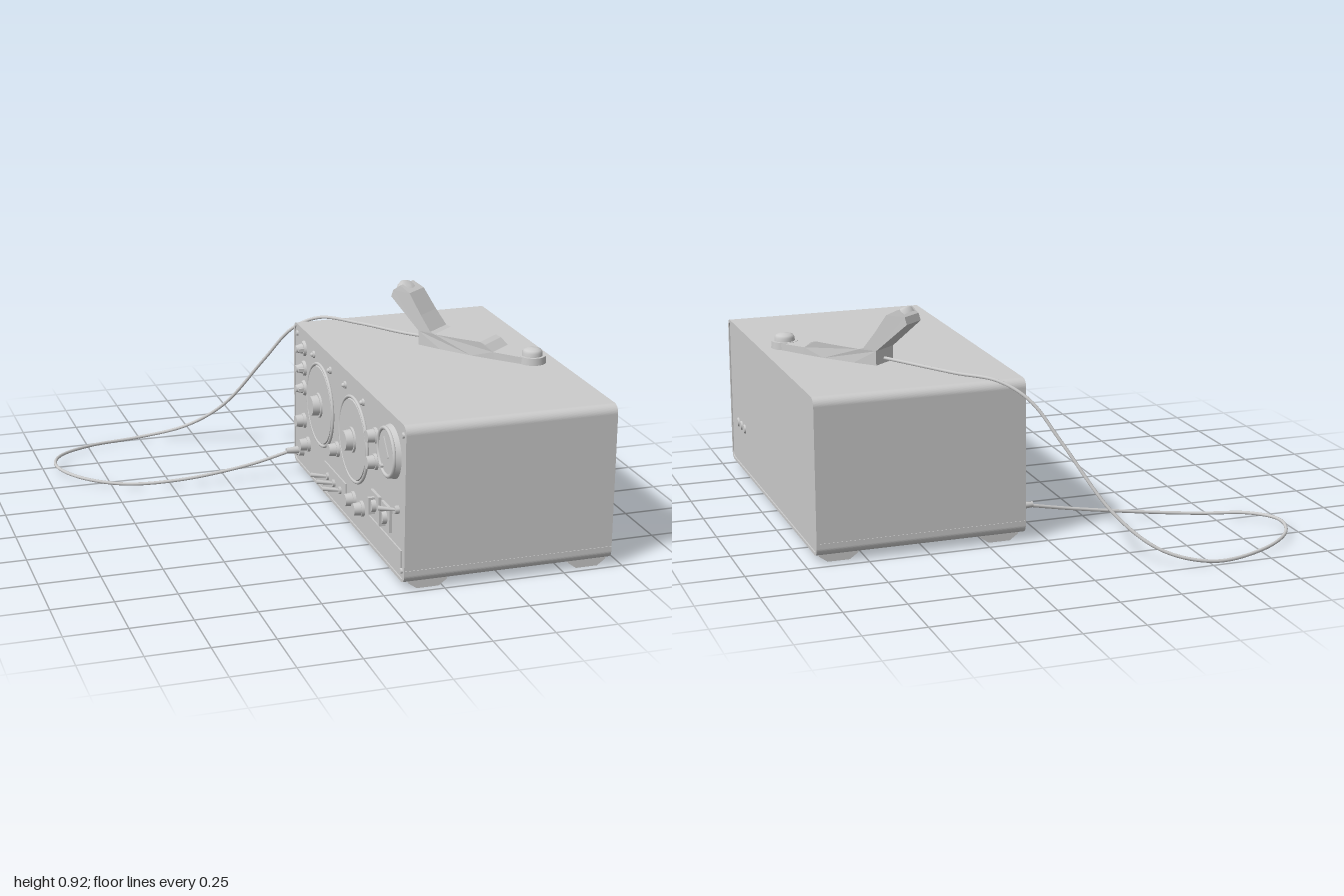
import * as THREE from 'three';

const mat = new THREE.MeshStandardMaterial({ color: 0xcccccc, side: THREE.DoubleSide });

function add(parent, name, geo, x = 0, y = 0, z = 0) {
  const m = new THREE.Mesh(geo, mat);
  m.name = name;
  m.position.set(x, y, z);
  parent.add(m);
  return m;
}

function roundedRect(Type, x0, y0, x1, y1, r) {
  const s = new Type();
  s.moveTo(x0 + r, y0);
  s.lineTo(x1 - r, y0);
  s.absarc(x1 - r, y0 + r, r, -Math.PI / 2, 0);
  s.lineTo(x1, y1 - r);
  s.absarc(x1 - r, y1 - r, r, 0, Math.PI / 2);
  s.lineTo(x0 + r, y1);
  s.absarc(x0 + r, y1 - r, r, Math.PI / 2, Math.PI);
  s.lineTo(x0, y0 + r);
  s.absarc(x0 + r, y0 + r, r, Math.PI, Math.PI * 1.5);
  return s;
}

// Cylinder whose axis points along +z, base at z = 0
function disc(rBase, rTop, h, seg = 32) {
  return new THREE.CylinderGeometry(rTop, rBase, h, seg).rotateX(Math.PI / 2).translate(0, 0, h / 2);
}

function createCabinet(root) {
  const g = new THREE.Group();
  g.name = 'cabinet';
  root.add(g);
  // Wrap-around shell, open at both ends along x
  const s = roundedRect(THREE.Shape, -0.99, 0.032, 0.47, 0.675, 0.035);
  s.holes.push(roundedRect(THREE.Path, -0.978, 0.044, 0.458, 0.663, 0.025));
  const shell = new THREE.ExtrudeGeometry(s, { depth: 0.87, bevelEnabled: false, curveSegments: 10 });
  add(g, 'shell', shell.rotateY(Math.PI / 2), 0.085);
  // End panels sit slightly inside the shell
  const inner = roundedRect(THREE.Shape, -0.978, 0.044, 0.458, 0.663, 0.025);
  const core = new THREE.ExtrudeGeometry(inner, { depth: 0.86, bevelEnabled: false, curveSegments: 10 });
  add(g, 'endPanels', core.rotateY(Math.PI / 2), 0.09);
  // Seam strips low on the two long sides
  for (const z of [-0.47, 0.99]) add(g, 'seamStrip', new THREE.BoxGeometry(0.868, 0.004, 0.004), 0.52, 0.085, z);
  // Sockets on the plain end
  for (const z of [0.74, 0.8, 0.86]) {
    add(g, 'socket', disc(0.02, 0.018, 0.008, 24).rotateY(Math.PI / 2), 0.95, 0.23, z);
  }
  // Tapered feet
  const f = new THREE.Shape();
  f.moveTo(-0.08, 0.034);
  f.lineTo(-0.08, 0.025);
  f.lineTo(-0.045, 0);
  f.lineTo(0.045, 0);
  f.lineTo(0.08, 0.025);
  f.lineTo(0.08, 0.034);
  const foot = new THREE.ExtrudeGeometry(f, { depth: 0.034, bevelEnabled: false });
  for (const x of [0.19, 0.86]) for (const z of [0.935, -0.445]) add(g, 'foot', foot, x, 0.002, z);
}

function createControls(root) {
  // Local x runs along the panel, local z points out of it
  const g = new THREE.Group();
  g.name = 'controlPanel';
  g.position.x = 0.09;
  g.rotation.y = -Math.PI / 2;
  root.add(g);

  const knob = (x, y, r) => {
    add(g, 'knobSkirt', disc(r * 1.15, r * 1.1, 0.012), x, y, 0);
    add(g, 'knob', disc(r, r * 0.85, 0.042), x, y, 0);
  };
  const toggle = (x, y) => {
    add(g, 'toggleNut', disc(0.018, 0.016, 0.016, 6), x, y, 0);
    const lever = add(g, 'toggleLever', disc(0.006, 0.01, 0.07, 16), x, y, 0.01);
    lever.rotation.set(-0.1, -0.3, 0);
  };

  // Large tuning dials
  for (const x of [-0.09, 0.36]) {
    add(g, 'dialRing', new THREE.TorusGeometry(0.177, 0.007, 10, 56), x, 0.41, 0.004);
    add(g, 'dialPlate', disc(0.17, 0.166, 0.01, 56), x, 0.41, 0);
    add(g, 'dialHub', disc(0.055, 0.052, 0.018), x, 0.41, 0);
    add(g, 'dialKnob', disc(0.046, 0.04, 0.048), x, 0.41, 0);
  }

  // Round meter
  add(g, 'meterBody', disc(0.108, 0.1, 0.024, 48), 0.82, 0.52, 0);
  add(g, 'meterRim', new THREE.TorusGeometry(0.095, 0.008, 10, 48), 0.82, 0.52, 0.024);
  add(g, 'meterNeedle', new THREE.BoxGeometry(0.006, 0.09, 0.004), 0.82, 0.54, 0.026).rotation.z = 0.7;
  add(g, 'meterScrew', disc(0.008, 0.007, 0.035, 16), 0.78, 0.45, 0);

  // Small knobs
  const knobs = [[-0.33, 0.26], [-0.27, 0.17], [0.14, 0.29], [0.36, 0.15], [0.47, 0.15], [0.63, 0.52], [0.63, 0.41]];
  for (const [x, y] of knobs) knob(x, y, 0.029);

  // Pointer knobs in a column
  for (const y of [0.59, 0.5, 0.41]) {
    add(g, 'pointerSkirt', disc(0.034, 0.03, 0.012), -0.33, y, 0);
    add(g, 'pointerKnob', disc(0.026, 0.014, 0.04), -0.33, y, 0);
    add(g, 'pointerBar', new THREE.BoxGeometry(0.06, 0.014, 0.024), -0.33, y, 0.022);
  }

  // Selector switches on square plates
  for (const x of [0.65, 0.78]) {
    add(g, 'selectorPlate', new THREE.BoxGeometry(0.1, 0.1, 0.012), x, 0.235, 0.006);
    add(g, 'selectorKnob', disc(0.03, 0.026, 0.03), x, 0.235, 0);
    add(g, 'selectorBar', new THREE.BoxGeometry(0.016, 0.07, 0.03), x, 0.235, 0.024);
  }

  // Toggle switches and thin plates
  add(g, 'togglePlate', new THREE.BoxGeometry(0.29, 0.1, 0.006), 0.12, 0.13, 0.003);
  for (const x of [0.03, 0.115, 0.2]) toggle(x, 0.13);
  toggle(0.9, 0.31);
  add(g, 'blankPlate', new THREE.BoxGeometry(0.38, 0.075, 0.006), 0.76, 0.12, 0.003);

  // Indicator lamps along the top edge
  for (const x of [-0.19, 0.04, 0.24, 0.47]) {
    add(g, 'lampBase', disc(0.016, 0.014, 0.008, 20), x, 0.605, 0);
    add(g, 'lamp', new THREE.SphereGeometry(0.01, 16, 10), x, 0.605, 0.008);
  }

  // Corner screws
  for (const x of [-0.43, 0.95]) for (const y of [0.075, 0.63]) add(g, 'cornerScrew', disc(0.012, 0.01, 0.008, 16), x, y, 0);

  // Cord socket and plug
  add(g, 'cordSocket', disc(0.03, 0.026, 0.02), -0.36, 0.115, 0);
  add(g, 'cordPlug', disc(0.018, 0.012, 0.075), -0.36, 0.115, 0);
}

function createHandset(root) {
  // Local x runs along the handset from the low round end to the raised end
  const g = new THREE.Group();
  g.name = 'handset';
  g.position.set(0.85, 0, 0.38);
  g.rotation.y = Math.atan2(0.783, -0.623);
  root.add(g);

  const pts = [[0, 0.675], [0.14, 0.675], [0.25, 0.675], [0.4, 0.675], [0.51, 0.675], [0.51, 0.735], [0.655, 0.86],
    [0.645, 0.89], [0.61, 0.915], [0.56, 0.89], [0.5, 0.805], [0.45, 0.742], [0.43, 0.735], [0.3, 0.738],
    [0.21, 0.74], [0.185, 0.732], [0.15, 0.706], [0, 0.703]];
  const shape = new THREE.Shape(pts.map(([x, y]) => new THREE.Vector2(x, y)));
  const body = new THREE.ExtrudeGeometry(shape, { depth: 2, bevelEnabled: false }).translate(0, 0, -1);
  // Sides swell towards the middle of the grip
  const p = body.attributes.position;
  for (let i = 0; i < p.count; i++) {
    const t = THREE.MathUtils.clamp(p.getX(i) / 0.63, 0, 1);
    p.setZ(i, p.getZ(i) * (0.05 + 0.019 * Math.sin(Math.PI * t)));
  }
  body.computeVertexNormals();
  add(g, 'handsetBody', body);

  const capProfile = [[0, 0.04], [0.022, 0.038], [0.036, 0.032], [0.042, 0.022], [0.043, 0]];
  const cap = new THREE.LatheGeometry(capProfile.map(([x, y]) => new THREE.Vector2(x, y)).reverse(), 36);
  add(g, 'earpieceBase', new THREE.CylinderGeometry(0.055, 0.057, 0.03, 36), 0, 0.69, 0);
  add(g, 'earpieceCap', cap, 0, 0.697, 0);
  // Raised cap leans back over the grip
  const tilt = add(g, 'raisedCap', cap.clone().scale(1.15, 0.85, 1.15), 0.606, 0.878, 0);
  tilt.rotation.z = 0.6;
}

function createCord(root) {
  const path = [[0.54, 0.695, -0.01], [0.46, 0.69, -0.12], [0.33, 0.686, -0.32], [0.2, 0.678, -0.475],
    [0.1, 0.61, -0.56], [0, 0.45, -0.655], [-0.15, 0.2, -0.81], [-0.3, 0.07, -0.935], [-0.5, 0.017, -0.993],
    [-0.75, 0.02, -0.935], [-0.91, 0.032, -0.81], [-0.951, 0.038, -0.67], [-0.88, 0.03, -0.53],
    [-0.7, 0.016, -0.425], [-0.45, 0.032, -0.365], [-0.15, 0.075, -0.348], [0.03, 0.112, -0.36]];
  const curve = new THREE.CatmullRomCurve3(path.map((a) => new THREE.Vector3(...a)));
  add(root, 'cord', new THREE.TubeGeometry(curve, 160, 0.007, 10));
}

export function createModel() {
  const root = new THREE.Group();
  root.name = 'radioSet';
  createCabinet(root);
  createControls(root);
  createHandset(root);
  createCord(root);
  return root;
}
